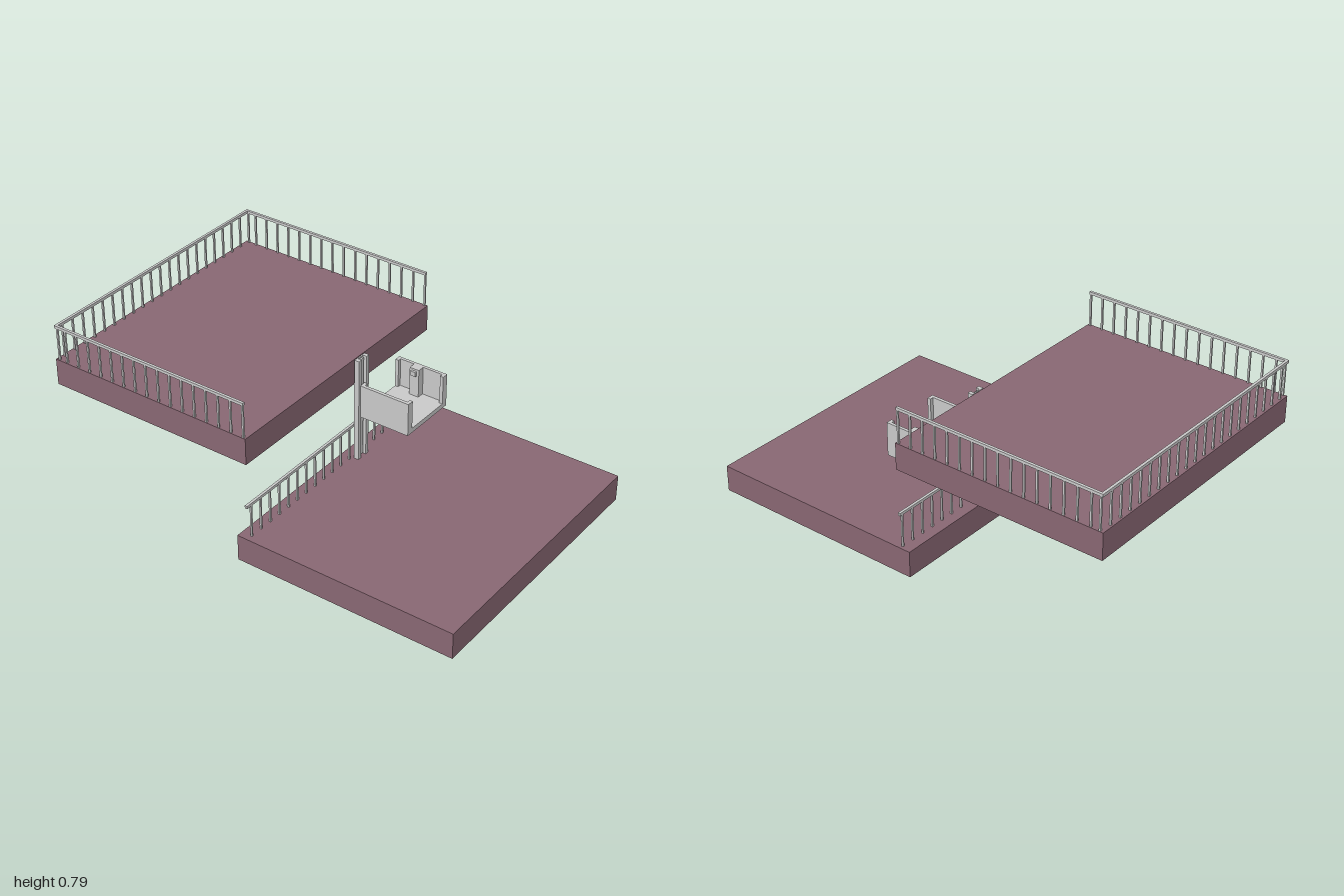
import * as THREE from 'three';

const grey = new THREE.MeshStandardMaterial({ color: 0xcccccc });
const plum = new THREE.MeshStandardMaterial({ color: 0x8a6874 });

// Box given by its minimum and maximum along each axis
function block(parent, name, [x0, x1], [y0, y1], [z0, z1], material = grey) {
  const mesh = new THREE.Mesh(new THREE.BoxGeometry(x1 - x0, y1 - y0, z1 - z0), material);
  mesh.position.set((x0 + x1) / 2, (y0 + y1) / 2, (z0 + z1) / 2);
  mesh.name = name;
  parent.add(mesh);
  return mesh;
}

// Straight railing along local x: a handrail on evenly spaced square posts
function railing(name, from, to, height, firstPost, spacing, count) {
  const group = new THREE.Group();
  group.name = name;
  const h = 0.004;
  block(group, 'handrail', [from, to], [height - 0.013, height], [-0.006, 0.006]);
  for (let i = 0; i < count; i++) {
    const x = firstPost + i * spacing;
    block(group, 'railingPost', [x - h, x + h], [0, height - 0.013], [-h, h]);
  }
  return group;
}

export function createModel() {
  const model = new THREE.Group();
  model.name = 'twoLevelPlatformLift';

  // Floors
  block(model, 'lowerFloor', [-0.64, 0.64], [0, 0.123], [-0.05, 1], plum);
  block(model, 'upperFloor', [-0.64, 0.64], [0.497, 0.62], [-1, 0.008], plum);

  // Railings
  const lower = railing('lowerRailing', -0.64, 0.64, 0.169, -0.608, 0.0615, 21);
  lower.position.set(0, 0.123, 0);
  model.add(lower);

  const back = railing('upperBackRailing', -0.64, 0.64, 0.165, -0.598, 0.0619, 20);
  back.position.set(0, 0.62, -0.988);
  model.add(back);

  for (const side of [-1, 1]) {
    const rail = railing('upperSideRailing', 0, 0.99, 0.165, 0.005, 0.0623, 16);
    block(rail, 'cornerPost', [0.978, 0.986], [0, 0.152], [-0.004, 0.004]);
    rail.rotation.y = Math.PI / 2;
    rail.position.set(side * 0.634, 0.62, 0);
    model.add(rail);
  }

  // Lift mast: a channel with an inner guide
  const mast = new THREE.Group();
  mast.name = 'mast';
  model.add(mast);
  const tall = [0.123, 0.62];
  block(mast, 'mastBack', [0.086, 0.158], tall, [0.012, 0.018]);
  block(mast, 'mastFlange', [0.086, 0.104], tall, [0.018, 0.036]);
  block(mast, 'mastFlange', [0.14, 0.158], tall, [0.018, 0.036]);
  block(mast, 'mastGuide', [0.11, 0.134], [0.13, 0.614], [0.018, 0.026]);

  // Lift car: floor, two side panels with lips at both ends
  const car = new THREE.Group();
  car.name = 'liftCar';
  model.add(car);
  const wall = [0.36, 0.495], depth = [0.034, 0.28];
  block(car, 'carFloor', [0.098, 0.389], [0.338, 0.36], depth);
  block(car, 'leftPanel', [0.098, 0.113], wall, depth);
  block(car, 'rightPanel', [0.375, 0.389], wall, depth);
  for (const z of [[0.034, 0.05], [0.264, 0.28]]) {
    block(car, 'panelLip', [0.113, 0.13], wall, z);
    block(car, 'panelLip', [0.359, 0.375], wall, z);
  }
  block(car, 'carriage', [0.108, 0.136], [0.34, 0.36], [0.026, 0.034]);

  // Control column and its button
  block(car, 'controlColumn', [0.342, 0.375], wall, [0.12, 0.167]);
  block(car, 'controlButton', [0.331, 0.342], [0.464, 0.486], [0.131, 0.156]);

  return model;
}
